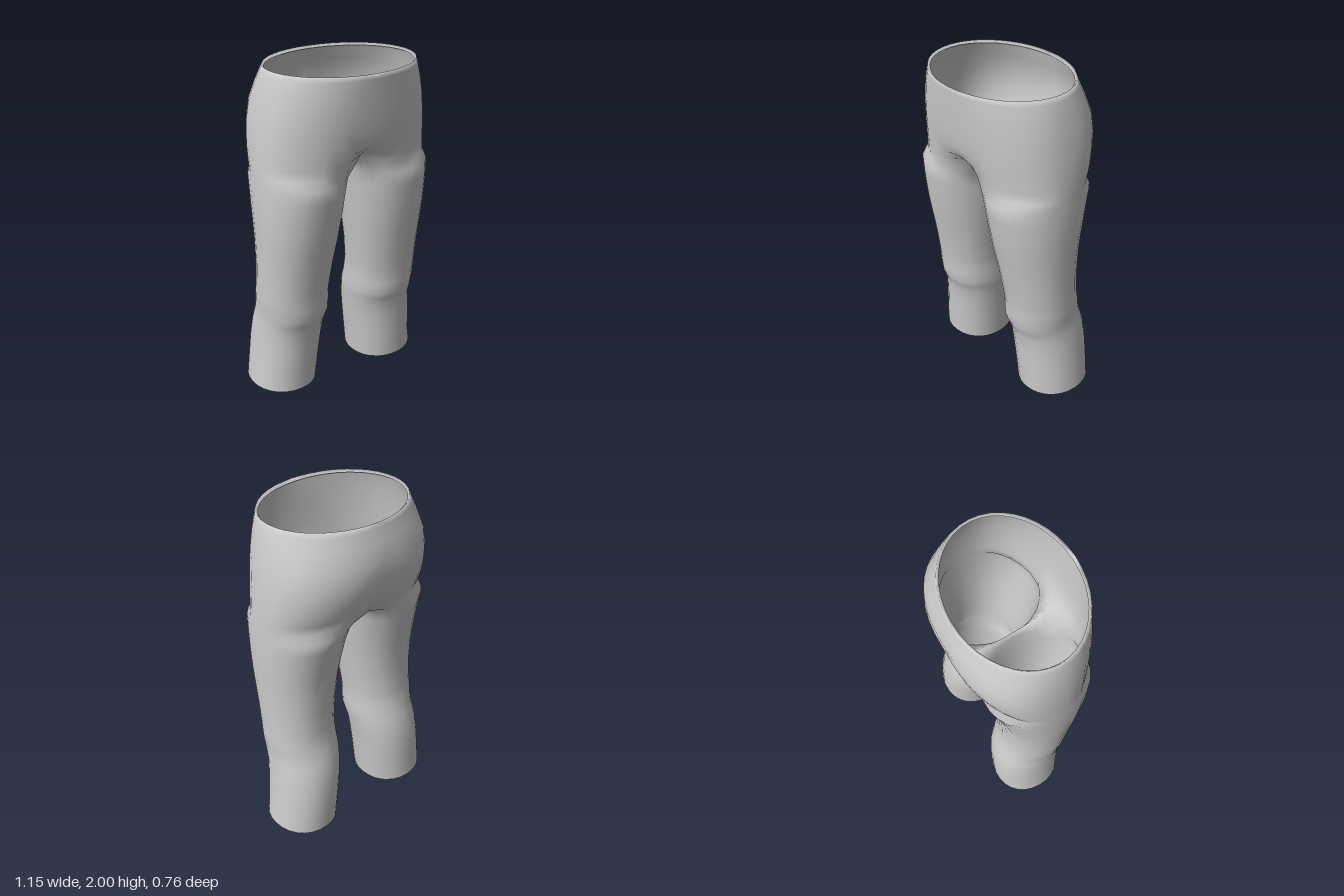
import * as THREE from 'three';
import { mergeGeometries, mergeVertices } from 'three/addons/utils/BufferGeometryUtils.js';

const OUTER = 20; // segments around the outside of one half, front seam to back seam
const INNER = 10; // segments along the inseam side of a leg
const SPREAD = 0.8; // how far the outer arc wraps onto the inside of a leg

// Half rings, waist to crotch: y, half width, front z, back z, squareness, front dent, back dent, front lift
const PELVIS = [
  [1.985, 0.435, 0.368, -0.31, 1, 0, 0, 0],
  [2.0, 0.445, 0.385, -0.325, 1, 0, 0, 0],
  [1.97, 0.458, 0.382, -0.33, 0.98, 0, 0, 0],
  [1.9, 0.478, 0.376, -0.352, 0.92, 0, 0, 0],
  [1.8, 0.5, 0.366, -0.38, 0.86, 0, 0, 0],
  [1.7, 0.515, 0.356, -0.382, 0.84, 0, 0.005, 0],
  [1.62, 0.524, 0.348, -0.37, 0.84, 0.008, 0.012, 0],
  [1.55, 0.53, 0.34, -0.352, 0.84, 0.025, 0.025, 0.02],
  [1.49, 0.533, 0.333, -0.33, 0.84, 0.055, 0.04, 0.05],
  [1.43, 0.536, 0.328, -0.302, 0.84, 0.085, 0.045, 0.085],
];

// Closed rings, thigh to hem: y, outer x, inner x, front z, back z
const LEG = [
  [1.39, 0.537, 0.01, 0.324, -0.298],
  [1.3, 0.54, 0.024, 0.314, -0.272],
  [1.2, 0.54, 0.036, 0.3, -0.25],
  [1.1, 0.538, 0.05, 0.284, -0.23],
  [1.0, 0.535, 0.062, 0.265, -0.215],
  [0.85, 0.531, 0.084, 0.235, -0.206],
  [0.7, 0.53, 0.1, 0.212, -0.21],
  [0.64, 0.533, 0.102, 0.204, -0.222],
  [0.59, 0.531, 0.1, 0.203, -0.23],
  [0.52, 0.526, 0.1, 0.198, -0.252],
  [0.48, 0.53, 0.105, 0.182, -0.262],
  [0.42, 0.535, 0.113, 0.16, -0.278],
  [0.32, 0.545, 0.126, 0.152, -0.292],
  [0.2, 0.556, 0.14, 0.145, -0.297],
  [0.01, 0.575, 0.16, 0.135, -0.297],
];

const power = (v, p) => Math.sign(v) * Math.pow(Math.abs(v), p);

function pelvisRow([y, rx, zf, zb, p, frontDent, backDent, lift]) {
  const row = [];
  for (let j = 0; j <= OUTER; j++) {
    const t = (j / OUTER) * Math.PI;
    const x = j === OUTER ? 0 : rx * power(Math.sin(t), p);
    let z = (zf + zb) / 2 + ((zf - zb) / 2) * power(Math.cos(t), p);
    const near = Math.exp(-((x / 0.12) ** 2));
    z += t < Math.PI / 2 ? -frontDent * near : backDent * near;
    row.push([x, y + (t < Math.PI / 2 ? lift * near : 0), z]);
  }
  return row;
}

function legRow([y, xo, xi, zf, zb], index) {
  const row = [];
  const tilt = index === LEG.length - 1 ? 0.01 : 0;
  for (let j = 0; j < OUTER + INNER; j++) {
    const a = j <= OUTER
      ? -SPREAD + (j / OUTER) * (Math.PI + 2 * SPREAD)
      : Math.PI + SPREAD + ((j - OUTER) / INNER) * (Math.PI - 2 * SPREAD);
    row.push([
      (xo + xi) / 2 + ((xo - xi) / 2) * power(Math.sin(a), 0.94),
      y + tilt * Math.sin(a),
      (zf + zb) / 2 + ((zf - zb) / 2) * power(Math.cos(a), 0.94),
    ]);
  }
  return row;
}

// Joins neighbouring rows with quads; mirrored halves get the opposite winding
function loft(rows, closed, side) {
  const positions = [];
  const indices = [];
  const n = rows[0].length;
  rows.forEach((row) => row.forEach(([x, y, z]) => positions.push(x * side, y, z)));
  for (let i = 0; i < rows.length - 1; i++) {
    for (let j = 0; j < (closed ? n : n - 1); j++) {
      const k = (j + 1) % n;
      const a = i * n + j, b = a + n, c = i * n + k, d = c + n;
      if (side > 0) indices.push(a, b, c, b, d, c);
      else indices.push(a, c, b, b, c, d);
    }
  }
  const geometry = new THREE.BufferGeometry();
  geometry.setAttribute('position', new THREE.Float32BufferAttribute(positions, 3));
  geometry.setIndex(indices);
  return geometry;
}

export function createModel() {
  const pelvis = PELVIS.map(pelvisRow);

  // Crotch seam: closes the last pelvis half ring into the top ring of a leg
  const crotch = pelvis[pelvis.length - 1].slice();
  const front = crotch[0];
  const back = crotch[OUTER];
  for (let k = 1; k < INNER; k++) {
    const s = k / INNER;
    crotch.push([0, back[1] + (front[1] - back[1]) * s ** 4, back[2] + (front[2] - back[2]) * s]);
  }
  const leg = [crotch, ...LEG.map(legRow)];

  // Both halves are welded along the seams so the cloth shades smoothly
  const parts = [1, -1].flatMap((side) => [loft(pelvis, false, side), loft(leg, true, side)]);
  const geometry = mergeVertices(mergeGeometries(parts), 1e-4);
  geometry.computeVertexNormals();

  const material = new THREE.MeshStandardMaterial({ color: 0xcccccc, side: THREE.DoubleSide });
  const trousers = new THREE.Mesh(geometry, material);
  trousers.name = 'trousers';

  const group = new THREE.Group();
  group.name = 'trousersModel';
  group.add(trousers);
  return group;
}
